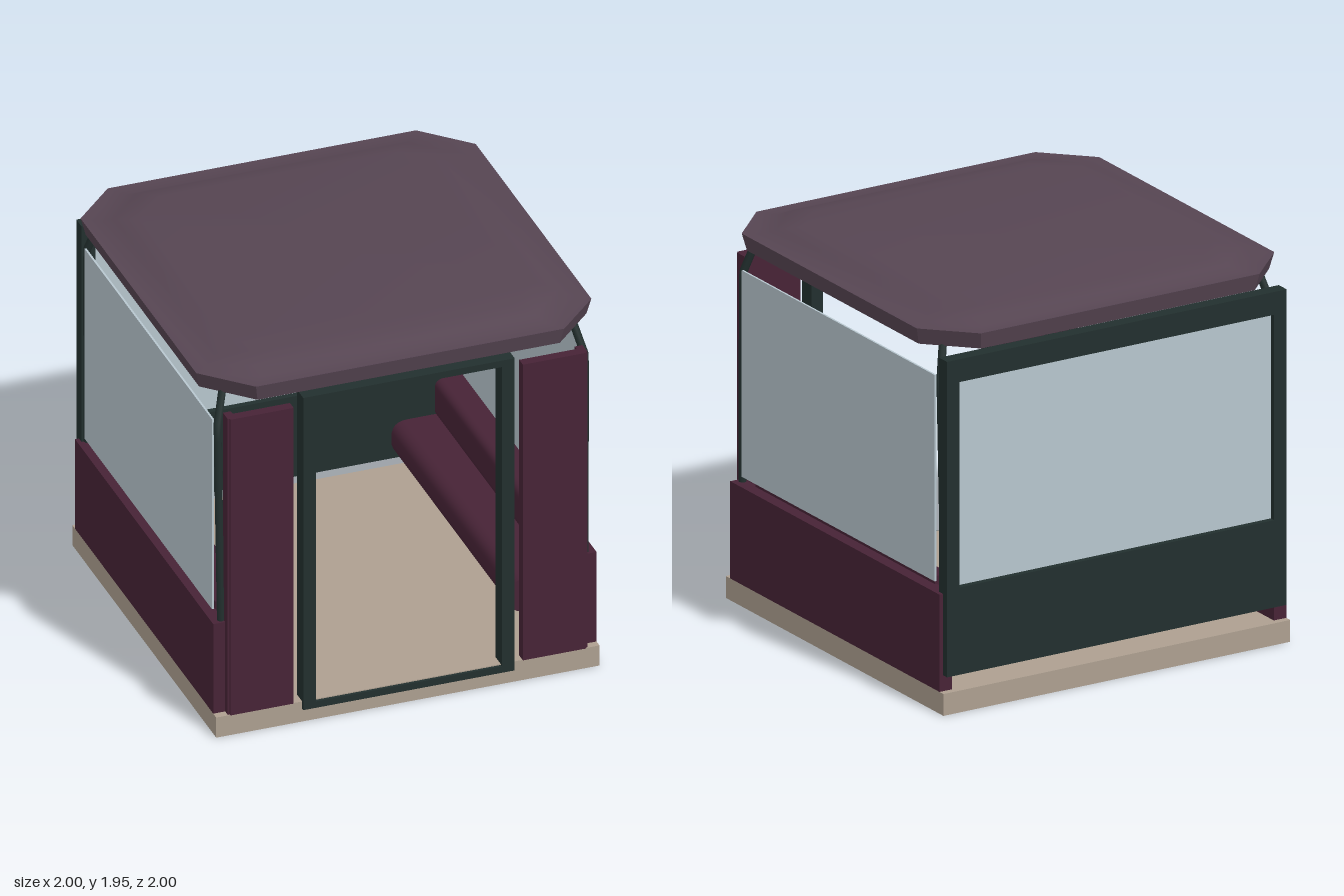
import * as THREE from 'three';
import { toCreasedNormals } from 'three/addons/utils/BufferGeometryUtils.js';

const mat = (name, color, side = THREE.FrontSide) => {
  const m = new THREE.MeshStandardMaterial({ color, side });
  m.name = name;
  return m;
};

export function createModel() {
  const group = new THREE.Group();
  const plum = mat('plum panels', 0x472336);
  const roofPaint = mat('roof mauve', 0x564552);
  const dark = mat('dark frame', 0x222f2e);
  const glass = mat('pale glass', 0xb7c6ce);
  const sand = mat('sand floor', 0xad9f90);

  const add = (name, geometry, material) => {
    const mesh = new THREE.Mesh(geometry, material);
    mesh.name = name;
    group.add(mesh);
    return mesh;
  };
  // Box given by its minimum and maximum corners
  const box = (name, material, a, b) => {
    const g = new THREE.BoxGeometry(b[0] - a[0], b[1] - a[1], b[2] - a[2]);
    g.translate((a[0] + b[0]) / 2, (a[1] + b[1]) / 2, (a[2] + b[2]) / 2);
    return add(name, g, material);
  };
  // Same box on either side of x = 0
  const pair = (name, material, a, b) => {
    box(name + 'Left', material, a, b);
    box(name + 'Right', material, [-b[0], a[1], a[2]], [-a[0], b[1], b[2]]);
  };
  // Rectangular frame with one rectangular opening
  const frame = (name, outer, hole, depth, z) => {
    const rect = (T, [x, y0, y1]) => {
      const p = [[-x, y0], [x, y0], [x, y1], [-x, y1]].map(q => new THREE.Vector2(...q));
      return new T(p);
    };
    const shape = rect(THREE.Shape, outer);
    shape.holes.push(rect(THREE.Path, hole));
    const g = new THREE.ExtrudeGeometry(shape, { depth, bevelEnabled: false });
    g.translate(0, 0, z);
    return add(name, g, dark);
  };

  // Floor and low side walls
  box('floor', sand, [-0.97, 0, -0.97], [0.97, 0.11, 0.97]);
  pair('sideWall', plum, [0.9, 0.11, -0.935], [0.97, 0.6, 0.93]);

  // Front panels, with a narrow step at the outer edge
  pair('frontPanel', plum, [0.58, 0.11, 0.925], [0.9, 1.73, 0.975]);
  pair('frontPanelEdge', plum, [0.87, 0.11, 0.9], [0.91, 1.73, 0.965]);

  // Door frame, grab pole, back frame
  frame('doorFrame', [0.535, 0.07, 1.78], [0.47, 0.105, 1.745], 0.085, 0.9);
  const pole = new THREE.CylinderGeometry(0.022, 0.022, 1.36, 8);
  add('grabPole', pole, dark).position.set(-0.582, 0.8, 0.56);
  frame('backFrame', [0.95, 0.19, 1.78], [0.88, 0.63, 1.665], 0.07, -0.97);

  // Windows
  box('backWindow', glass, [-0.885, 0.62, -0.94], [0.885, 1.675, -0.93]);
  pair('sideWindow', glass, [0.94, 0.64, -0.86], [0.95, 1.68, 0.86]);

  // Bent corner posts holding the roof
  for (const sx of [-1, 1]) for (const sz of [-1, 1]) {
    const path = new THREE.CurvePath();
    const pts = [[0.92, 0.58, 0.9], [0.93, 1.66, 0.88], [0.885, 1.83, 0.83]]
      .map(([x, y, z]) => new THREE.Vector3(sx * x, y, sz * z));
    path.add(new THREE.LineCurve3(pts[0], pts[1]));
    path.add(new THREE.LineCurve3(pts[1], pts[2]));
    add('cornerPost', new THREE.TubeGeometry(path, 14, 0.02, 8, false), dark);
  }

  // Padded benches along both sides: rounded seat and backrest
  const padGeometry = (x0, x1, y0, y1, r) => {
    const s = new THREE.Shape();
    s.moveTo(x1, y0);
    s.lineTo(x1, y1);
    s.lineTo(x0 + r, y1);
    s.quadraticCurveTo(x0, y1, x0, y1 - r);
    s.lineTo(x0, y0 + r);
    s.quadraticCurveTo(x0, y0, x0 + r, y0);
    s.closePath();
    const g = new THREE.ExtrudeGeometry(s, { depth: 1.6, bevelEnabled: false, curveSegments: 6 });
    g.translate(0, 0, -0.8);
    return toCreasedNormals(g, 0.7);
  };
  const seat = padGeometry(0.58, 0.91, 0.27, 0.45, 0.08);
  const back = padGeometry(0.8, 0.91, 0.43, 0.64, 0.05);
  for (const side of [1, -1]) {
    for (const [name, g] of [['benchSeat', seat], ['benchBack', back]]) {
      const mesh = add(name, g, plum);
      if (side < 0) mesh.rotation.y = Math.PI;
    }
  }

  // Roof: chamfered square sections [half width, chamfer start, height]
  const sections = [
    [0.75, 0.58, 1.785], [0.98, 0.765, 1.815], [1, 0.78, 1.9],
    [0.92, 0.72, 1.898], [0.87, 0.68, 1.925], [0.77, 0.6, 1.945],
  ];
  const pos = [], index = [];
  for (const [r, c, y] of sections) {
    const ring = [[r, c], [c, r], [-c, r], [-r, c], [-r, -c], [-c, -r], [c, -r], [r, -c]];
    for (const [x, z] of ring) pos.push(x, y, z);
  }
  const last = (sections.length - 1) * 8;
  for (let i = 0; i < last; i += 8) for (let j = 0; j < 8; j++) {
    const a = i + j, b = i + (j + 1) % 8;
    index.push(a, a + 8, b, b, a + 8, b + 8);
  }
  for (let j = 1; j < 7; j++) {
    index.push(0, j, j + 1);
    index.push(last, last + j + 1, last + j);
  }
  const roof = new THREE.BufferGeometry();
  roof.setAttribute('position', new THREE.Float32BufferAttribute(pos, 3));
  roof.setIndex(index);
  add('roof', toCreasedNormals(roof, 0.65), roofPaint);

  return group;
}
